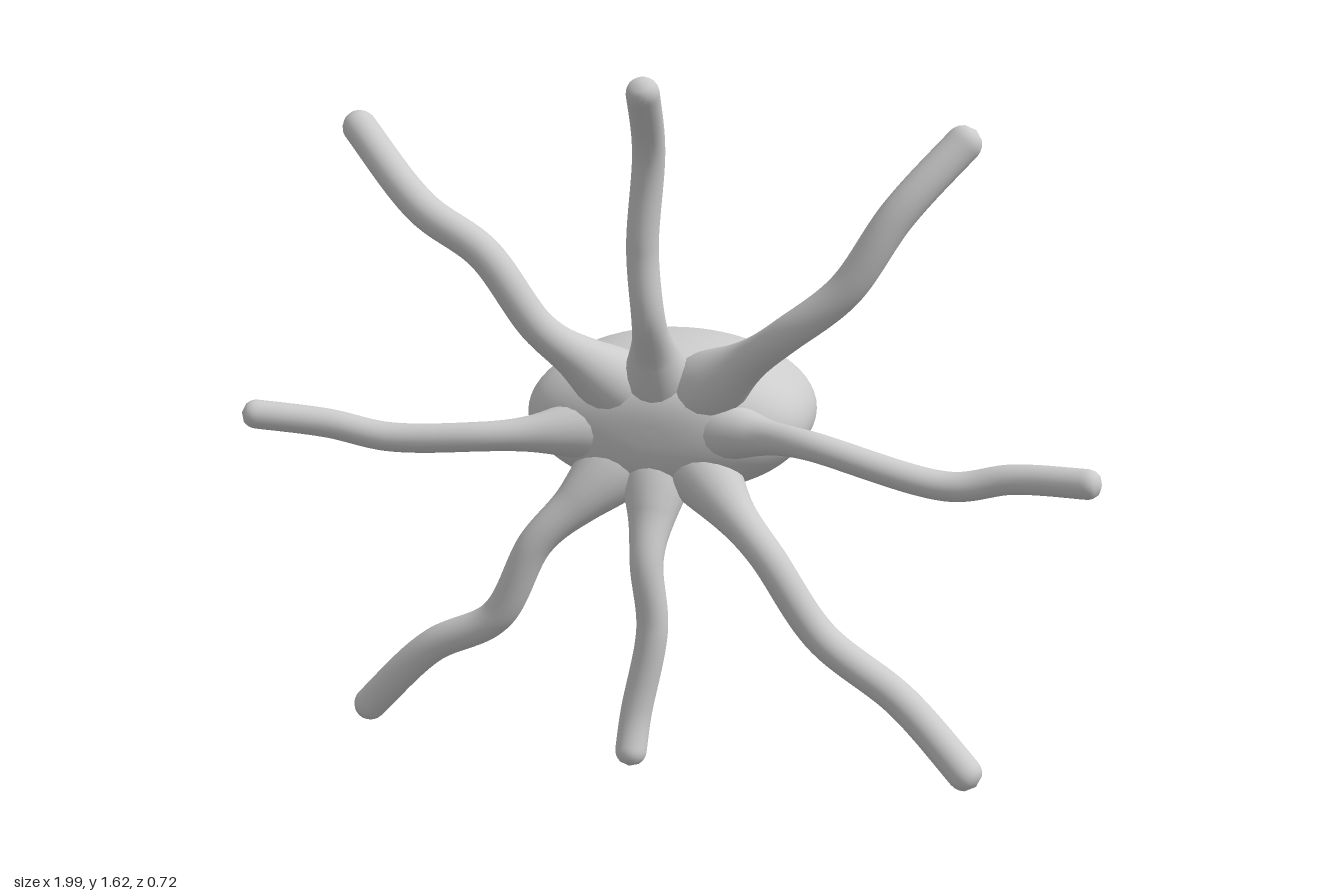
import * as THREE from 'three';
import { mergeVertices } from 'three/addons/utils/BufferGeometryUtils.js';

const material = new THREE.MeshStandardMaterial({ color: 0xcccccc });
const HUB = new THREE.Vector3(-0.037, 0.79, 0);

// Body: a turned superellipse laid along z and squashed to an oval.
function makeBody() {
  const profile = [];
  const steps = 48, power = 2 / 2.8;
  for (let i = 0; i <= steps; i++) {
    const a = (i / steps - 0.5) * Math.PI;
    const s = Math.sin(a);
    const halfDepth = s < 0 ? 0.262 : 0.24;
    const r = Math.max(0, Math.cos(a)) ** power;
    profile.push(new THREE.Vector2(r, -0.1 + Math.sign(s) * halfDepth * Math.abs(s) ** power));
  }
  const geometry = new THREE.LatheGeometry(profile, 64);
  geometry.rotateX(Math.PI / 2);
  geometry.scale(0.337, 0.176, 1);
  geometry.translate(HUB.x, HUB.y, 0);
  const mesh = new THREE.Mesh(geometry, material);
  mesh.name = 'body';
  return mesh;
}

// Wavy arm: a tube from inside the body, flared at the root and round at the tip.
function makeArm(name, radius, ...points) {
  const outer = points.map((p) => new THREE.Vector3(...p));
  const tip = outer[outer.length - 1];
  const heading = tip.clone().sub(outer[outer.length - 2]).normalize();
  tip.addScaledVector(heading, radius * 0.85);
  const root = HUB.clone().lerp(outer[0], 0.35).setZ(0.05);
  const shoulder = HUB.clone().lerp(outer[0], 0.65).setZ(0.115);
  const curve = new THREE.CatmullRomCurve3([root, shoulder, ...outer], false, 'centripetal');

  const length = curve.getLength();
  const rings = 100, sides = 20;
  let geometry = new THREE.TubeGeometry(curve, rings, 1, sides, false);
  const pos = geometry.attributes.position;
  const v = new THREE.Vector3();
  for (let i = 0; i <= rings; i++) {
    const along = (i / rings) * length;
    const center = curve.getPointAt(i / rings);
    const flare = 0.045 * Math.exp(-((along / 0.13) ** 2));
    const k = Math.max(0, (along - length + radius) / radius);
    const r = (radius + flare) * Math.sqrt(Math.max(0, 1 - k * k));
    for (let j = 0; j <= sides; j++) {
      const n = i * (sides + 1) + j;
      v.fromBufferAttribute(pos, n).sub(center).multiplyScalar(r).add(center);
      pos.setXYZ(n, v.x, v.y, v.z);
    }
  }
  // Weld the seam so the shading is smooth all round.
  geometry.deleteAttribute('uv');
  geometry.deleteAttribute('normal');
  geometry = mergeVertices(geometry, 1e-5);
  geometry.computeVertexNormals();
  const mesh = new THREE.Mesh(geometry, material);
  mesh.name = name;
  return mesh;
}

export function createModel() {
  const model = new THREE.Group();
  model.name = 'octopus';
  model.add(
    makeBody(),
    // Arms: name, radius, then the bends from body to tip.
    makeArm('topArm', 0.036, [-0.02, 1.08, 0.19], [-0.03, 1.24, 0.2], [-0.01, 1.46, 0.22], [0.004, 1.605, 0.325]),
    makeArm('upperLeftArm', 0.04, [0.29, 1.06, 0.185], [0.42, 1.17, 0.195], [0.53, 1.34, 0.175], [0.66, 1.49, 0.105]),
    makeArm('leftArm', 0.033, [0.34, 0.812, 0.185], [0.66, 0.745, 0.2], [0.8, 0.775, 0.21], [0.967, 0.79, 0.253]),
    makeArm('lowerLeftArm', 0.04, [0.25, 0.54, 0.175], [0.38, 0.36, 0.185], [0.57, 0.23, 0.205], [0.73, 0.1, 0.28]),
    makeArm('bottomArm', 0.037, [-0.03, 0.5, 0.175], [-0.016, 0.34, 0.18], [-0.05, 0.13, 0.205], [-0.054, 0.05, 0.235]),
    makeArm('lowerRightArm', 0.04, [-0.3, 0.52, 0.155], [-0.4, 0.33, 0.16], [-0.57, 0.23, 0.145], [-0.745, 0.05, 0.12]),
    makeArm('rightArm', 0.034, [-0.42, 0.768, 0.155], [-0.65, 0.755, 0.17], [-0.8, 0.78, 0.178], [-0.967, 0.8, 0.212]),
    makeArm('upperRightArm', 0.04, [-0.28, 1.04, 0.175], [-0.4, 1.21, 0.195], [-0.55, 1.3, 0.17], [-0.745, 1.46, 0.045]),
  );
  return model;
}
